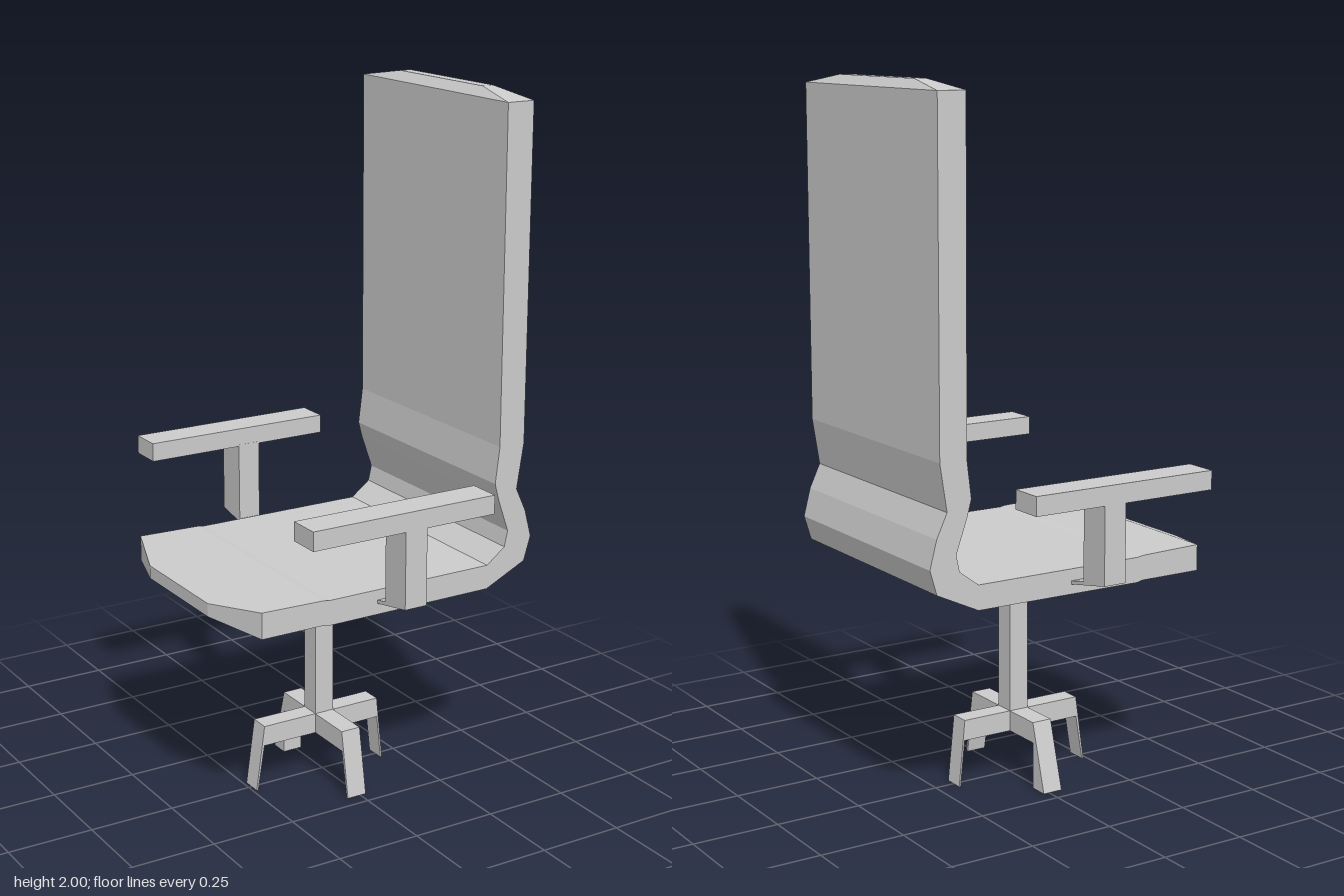
import * as THREE from 'three';

const material = new THREE.MeshStandardMaterial({ color: 0xcccccc, flatShading: true });

function add(parent, name, geometry, x = 0, y = 0, z = 0) {
  const mesh = new THREE.Mesh(geometry, material);
  mesh.name = name;
  mesh.position.set(x, y, z);
  parent.add(mesh);
  return mesh;
}

// Flat outline extruded symmetrically about its own plane
function slab(points, width) {
  const shape = new THREE.Shape(points.map(([x, y]) => new THREE.Vector2(x, y)));
  const geometry = new THREE.ExtrudeGeometry(shape, { depth: width, bevelEnabled: false });
  return geometry.translate(0, 0, -width / 2);
}

// Joins four-cornered sections [outerX, outerY, innerX, innerY, zMin, zMax]
function loft(sections) {
  const positions = [];
  const index = [];
  sections.forEach(([ox, oy, ix, iy, z0, z1], s) => {
    positions.push(ox, oy, z0, ox, oy, z1, ix, iy, z1, ix, iy, z0);
    if (s === 0) return;
    for (let k = 0; k < 4; k++) {
      const a = (s - 1) * 4 + k, b = (s - 1) * 4 + (k + 1) % 4;
      index.push(a, a + 4, b + 4, a, b + 4, b);
    }
  });
  const e = (sections.length - 1) * 4;
  index.push(0, 1, 2, 0, 2, 3, e, e + 2, e + 1, e, e + 3, e + 2);
  const geometry = new THREE.BufferGeometry();
  geometry.setAttribute('position', new THREE.Float32BufferAttribute(positions, 3));
  geometry.setIndex(index);
  const flat = geometry.toNonIndexed();
  flat.computeVertexNormals();
  return flat;
}

export function createModel() {
  const chair = new THREE.Group();
  chair.name = 'officeChair';
  const cx = -0.012;

  // Seat and backrest: one bent cushion, narrowed at both ends
  const bend = [
    [-0.407, 0.622, -0.407, 0.697],
    [-0.217, 0.622, -0.217, 0.693],
    [-0.2, 0.618, -0.2, 0.69],
    [0.318, 0.62, 0.318, 0.69],
    [0.445, 0.68, 0.376, 0.734],
    [0.466, 0.75, 0.386, 0.78],
    [0.445, 0.83, 0.352, 0.877],
    [0.413, 0.898, 0.339, 0.925],
    [0.434, 1.03, 0.352, 1.03],
    [0.434, 1.975, 0.35, 1.975],
  ].map((p) => [...p, -0.343, 0.362]);
  add(chair, 'seatAndBackrest', loft([
    [-0.47, 0.638, -0.47, 0.676, -0.16, 0.18],
    ...bend,
    [0.41, 2, 0.375, 2, -0.19, 0.21],
  ]));

  // Armrests: pad on a post whose foot slopes in under the seat
  for (const side of [1, -1]) {
    const arm = new THREE.Group();
    arm.name = side > 0 ? 'leftArmrest' : 'rightArmrest';
    add(arm, 'armPad', new THREE.BoxGeometry(0.57, 0.054, 0.097), -0.046, 0.922, side * 0.449);
    const post = add(arm, 'armPost', slab([
      [0.497, 0.9], [0.4, 0.9], [0.4, 0.668], [0.335, 0.655], [0.335, 0.645], [0.497, 0.676],
    ], 0.068), cx);
    post.rotation.y = -side * Math.PI / 2;
    chair.add(arm);
  }

  // Square column with a collar that tapers into it
  add(chair, 'column', new THREE.BoxGeometry(0.06, 0.485, 0.06), cx, 0.3825);
  add(chair, 'collar', new THREE.BoxGeometry(0.105, 0.075, 0.105), cx, 0.5875);
  const taper = new THREE.CylinderGeometry(0.0525 * Math.SQRT2, 0.03 * Math.SQRT2, 0.025, 4);
  add(chair, 'collarTaper', taper.rotateY(Math.PI / 4), cx, 0.5375);

  // Four-way base: [bar end, outer toe, inner toe, heading]
  const legs = [
    [0.182, 0.202, 0.197, 0],
    [0.175, 0.21, 0.203, -Math.PI / 2],
    [0.2, 0.228, 0.223, Math.PI],
    [0.15, 0.207, 0.152, Math.PI / 2],
  ];
  for (const [end, toe, heel, heading] of legs) {
    const leg = add(chair, 'baseLeg', slab([
      [0, 0.2], [0, 0.14], [end + 0.001, 0.14], [heel, 0.005], [toe, 0.005], [end, 0.2],
    ], 0.06), cx);
    leg.rotation.y = heading;
  }
  // Ground the toes
  chair.children.filter((c) => c.name === 'baseLeg').forEach((leg) => { leg.position.y = -0.005; });
  return chair;
}
